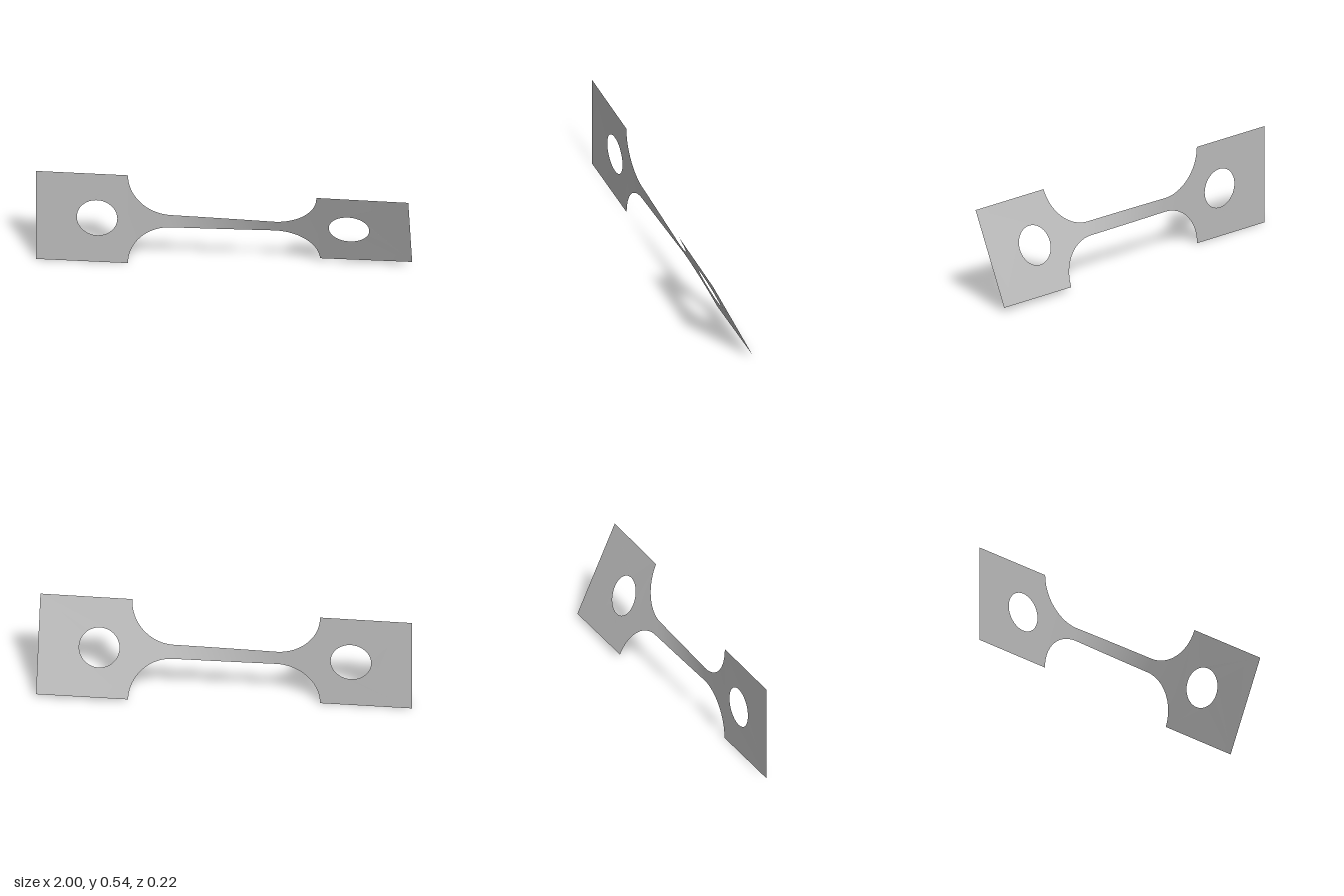
import * as THREE from 'three';

const HALF = 0.271;      // half height of the grips
const NECK = 0.038;      // half height of the neck
const R = HALF - NECK;   // fillet radius
const NECK_X = 0.275;    // where the neck meets the fillets
const GRIP_X = NECK_X + R;
const HOLE_X = 0.673, HOLE_R = 0.108;

// Twist in degrees along x: nearly all of it happens in the neck
const TWIST = [[-1, 0], [-0.508, 0.2], [-0.275, 1], [0.275, 22.6], [0.508, 23.5], [1, 24.3]];

function twistAt(x) {
  for (let i = 1; i < TWIST.length; i++) {
    const [x0, a0] = TWIST[i - 1], [x1, a1] = TWIST[i];
    if (x <= x1 || i === TWIST.length - 1) {
      return THREE.MathUtils.degToRad(THREE.MathUtils.mapLinear(x, x0, x1, a0, a1));
    }
  }
}

// Turns every vertex of a flat sheet about the long axis
function twistSheet(geometry) {
  const p = geometry.attributes.position;
  for (let i = 0; i < p.count; i++) {
    const a = twistAt(p.getX(i)), v = p.getY(i);
    p.setXYZ(i, p.getX(i), HALF + v * Math.cos(a), v * Math.sin(a));
  }
  geometry.computeVertexNormals();
  return geometry;
}

// Square end plate with a round hole
function gripGeometry(side) {
  const x0 = Math.min(side, side * GRIP_X), x1 = Math.max(side, side * GRIP_X);
  const shape = new THREE.Shape([
    new THREE.Vector2(x0, -HALF), new THREE.Vector2(x1, -HALF),
    new THREE.Vector2(x1, HALF), new THREE.Vector2(x0, HALF),
  ]);
  const hole = new THREE.Path();
  hole.absarc(side * HOLE_X, 0, HOLE_R, 0, Math.PI * 2, true);
  shape.holes.push(hole);
  return twistSheet(new THREE.ShapeGeometry(shape, 48));
}

// Narrow neck that flares through round fillets into both grips
function neckGeometry() {
  const arc = 20, straight = 32, rows = 6;
  const columns = [];
  for (let i = 0; i <= arc; i++) {
    const t = (i / arc) * Math.PI / 2;
    columns.push([-NECK_X - R * Math.cos(t), HALF - R * Math.sin(t)]);
  }
  for (let i = 1; i < straight; i++) columns.push([NECK_X * (2 * i / straight - 1), NECK]);
  for (let i = arc; i >= 0; i--) columns.push([-columns[i][0], columns[i][1]]);

  const geometry = new THREE.PlaneGeometry(1, 2, columns.length - 1, rows);
  const p = geometry.attributes.position;
  for (let i = 0; i < p.count; i++) {
    const [x, h] = columns[i % columns.length];
    p.setXY(i, x, p.getY(i) * h);
  }
  return twistSheet(geometry);
}

export function createModel() {
  const group = new THREE.Group();
  group.name = 'twistedTestStrip';
  const metal = new THREE.MeshStandardMaterial({ color: 0xbcbcbc, side: THREE.DoubleSide });
  metal.name = 'grey metal';

  const add = (name, geometry) => {
    const mesh = new THREE.Mesh(geometry, metal);
    mesh.name = name;
    group.add(mesh);
  };
  add('rightGrip', gripGeometry(-1));
  add('neck', neckGeometry());
  add('leftGrip', gripGeometry(1));
  return group;
}
